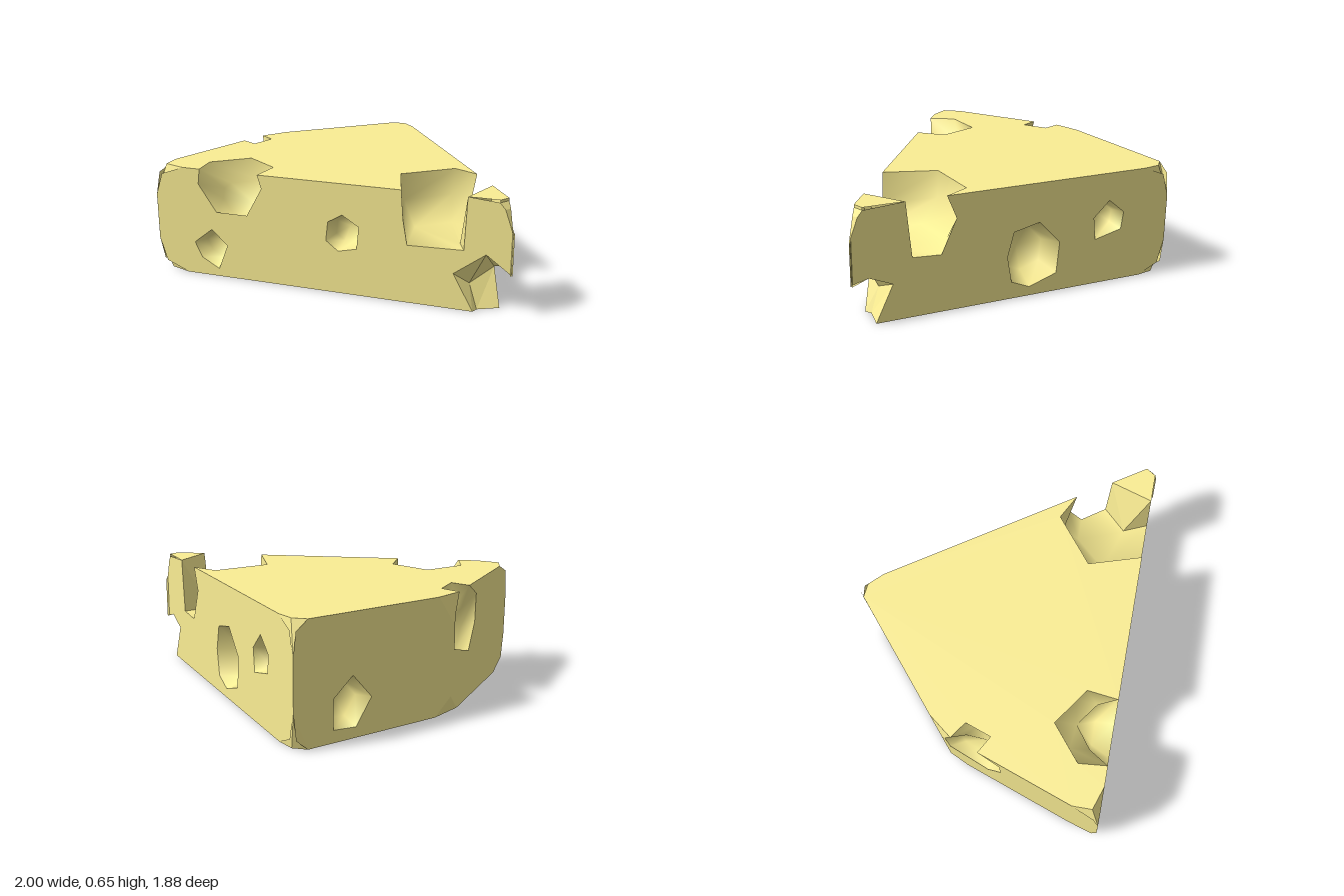
import * as THREE from 'three';

const TOP = 0.65;
const BASE = 0.003;

// Planes of the wedge, each mapping 2D face coordinates to 3D
const front = (x, y) => [x, y, 0.935 - 0.681 * (x + 0.75)];
const back = (x, y) => [x, y, -0.25 - 0.397 * (0.99 - x)];
const rind = (z, y) => [-1 + 0.267 * Math.abs(z), y, z];
const top = (x, z) => [x, TOP, z];
const bottom = (x, z) => [x, BASE, z];
const flatten = ([x, , z]) => [x, z];

export function createModel() {
  const group = new THREE.Group();
  const color = 0xfbee94;
  const flat = new THREE.MeshStandardMaterial({ color, flatShading: true, side: THREE.DoubleSide });
  const smooth = new THREE.MeshStandardMaterial({ color, side: THREE.DoubleSide });

  function add(name, geometry, material) {
    geometry.computeVertexNormals();
    const mesh = new THREE.Mesh(geometry, material);
    mesh.name = name;
    group.add(mesh);
  }

  // Surface from points and triangle indices
  function surface(name, points, index, material) {
    const g = new THREE.BufferGeometry();
    g.setAttribute('position', new THREE.Float32BufferAttribute(points.flat(), 3));
    g.setIndex(index);
    add(name, g, material);
  }

  // Flat outline with holes, placed by a mapping function
  function panel(name, outline, holes, map) {
    const toPoints = (list) => list.map(([a, b]) => new THREE.Vector2(a, b));
    const shape = new THREE.Shape(toPoints(outline));
    holes.forEach((h) => shape.holes.push(new THREE.Path(toPoints(h))));
    const g = new THREE.ShapeGeometry(shape);
    const p = g.attributes.position;
    for (let i = 0; i < p.count; i++) p.setXYZ(i, ...map(p.getX(i), p.getY(i)));
    add(name, g, flat);
  }

  const centre = (loop) => [0, 1, 2].map((k) => loop.reduce((s, p) => s + p[k], 0) / loop.length);

  // Rounded hollow: opening loop, a narrower inner ring, and the deepest point
  function pocket(name, loop, deep) {
    const n = loop.length;
    const c = centre(loop);
    const ring = loop.map((p) => p.map((v, k) => c[k] + (v - c[k]) * 0.7 + (deep[k] - c[k]) * 0.65));
    const index = [];
    for (let i = 0; i < n; i++) {
      const j = (i + 1) % n;
      index.push(i, j, n + i, j, n + j, n + i, n + i, n + j, 2 * n);
    }
    surface(name, [...loop, ...ring, deep], index, smooth);
  }

  // Hollow behind a hole in one wall
  function holePocket(name, hole, map, inward, depth) {
    const loop = hole.map(([a, b]) => map(a, b));
    pocket(name, loop, centre(loop).map((v, k) => v + inward[k] * depth));
  }

  // Skin joining rows of points
  function skin(name, rows, material) {
    const n = rows[0].length;
    const index = [];
    for (let r = 0; r < rows.length - 1; r++) {
      for (let i = r * n; i < r * n + n - 1; i++) index.push(i, i + 1, n + i, i + 1, n + i + 1, n + i);
    }
    surface(name, rows.flat(), index, material);
  }

  // Holes, in the coordinates of their wall
  const frontHoles = [
    [[0.21, 0.47], [0.29, 0.41], [0.28, 0.28], [0.19, 0.255], [0.13, 0.31], [0.14, 0.42]],
    [[-0.46, 0.29], [-0.38, 0.2], [-0.43, 0.05], [-0.52, 0.11], [-0.555, 0.2]],
  ];
  const backHoles = [
    [[0.008, 0.425], [-0.11, 0.29], [-0.095, 0.11], [0.058, 0.055], [0.159, 0.1], [0.184, 0.25], [0.15, 0.39]],
    [[-0.395, 0.49], [-0.484, 0.41], [-0.471, 0.31], [-0.32, 0.27], [-0.307, 0.4]],
  ];
  const rindHole = [[-0.72, 0.07], [-0.72, 0.23], [-0.61, 0.33], [-0.5, 0.2], [-0.59, 0.06]];

  // Notch outlines where they open on the walls and on the top
  const sideNotch = [[-0.51, TOP], [-0.52, 0.56], [-0.43, 0.4], [-0.27, 0.4], [-0.19, 0.57], [-0.21, TOP]];
  const sideNotchTop = [[-0.29, 0.41], [-0.54, 0.41], [-0.61, 0.65]];
  const rindNotch = [[0.07, TOP], [0.02, 0.53], [0.03, 0.35], [0.26, 0.28], [0.35, 0.42], [0.355, 0.58], [0.23, TOP]];
  const rindNotchTop = [[-0.83, 0.22], [-0.87, 0.07]];

  // Side walls
  panel('frontWall', [
    [-0.6, BASE], [-0.715, 0.06], [-0.75, 0.2], [-0.75, 0.47], [-0.715, 0.6], [-0.6, TOP],
    ...sideNotch, [0.49, TOP], [0.5, 0.48], [0.52, 0.34], [0.78, 0.35], [0.79, TOP],
    [0.93, 0.635], [0.955, 0.6], [1, 0.47], [1, 0.235], [0.88, 0.34], [0.735, 0.21], [0.83, BASE],
  ], frontHoles, front);
  panel('backWall', [
    [-0.6, BASE], [-0.715, 0.06], [-0.75, 0.2], [-0.75, 0.47], [-0.715, 0.6], [-0.6, TOP],
    [0.51, TOP], [0.46, 0.52], [0.54, 0.33], [0.69, 0.34], [0.72, TOP],
    [0.93, 0.635], [0.955, 0.6], [1, 0.47], [1, 0.235], [0.91, 0.265], [0.79, 0.21], [0.88, BASE],
  ], backHoles, back);

  // Rind, in two halves meeting at a blunt vertical edge
  panel('frontRind', [
    [0.1, BASE], [0, 0.1], [0, 0.5], ...rindNotch,
    [0.78, TOP], [0.905, 0.6], [0.935, 0.47], [0.935, 0.2], [0.905, 0.06], [0.76, BASE],
  ], [], rind);
  panel('backRind', [
    [-0.1, BASE], [0, 0.1], [0, 0.5], [-0.1, TOP],
    [-0.86, TOP], [-0.925, 0.6], [-0.94, 0.47], [-0.94, 0.2], [-0.925, 0.06], [-0.86, BASE],
  ], [rindHole], rind);
  surface('rindEdgeTop', [rind(0, 0.5), rind(0.07, TOP), rind(-0.1, TOP)], [0, 1, 2], flat);
  surface('rindEdgeBottom', [rind(0, 0.1), rind(-0.1, BASE), rind(0.1, BASE)], [0, 1, 2], flat);

  // Worn corners between the rind and the side walls, above and below
  for (const [y, shoulder, edge] of [[TOP, 0.6, 0.47], [BASE, 0.06, 0.2]]) {
    const corner = (name, wall, mid, rimZ, shoulderZ) => surface(name, [
      wall(-0.75, edge), wall(-0.715, shoulder), wall(-0.6, y), [mid[0], y, mid[1]],
      rind(rimZ, y), rind(shoulderZ, shoulder),
    ], [0, 1, 2, 0, 2, 3, 0, 3, 4, 0, 4, 5], flat);
    corner('frontCorner', front, [-0.73, 0.87], y === TOP ? 0.78 : 0.76, 0.905);
    corner('backCorner', back, [-0.7, -0.9], -0.86, -0.925);
  }

  // Top, cut by the notches, and the separate top of the tip
  panel('topFace', [
    ...[rind(-0.1, TOP), rind(0.07, TOP)].map(flatten), ...rindNotchTop.slice().reverse(),
    ...[rind(0.23, TOP), rind(0.78, TOP)].map(flatten), [-0.73, 0.87],
    ...[front(-0.6, TOP), front(-0.51, TOP)].map(flatten), ...sideNotchTop.slice().reverse(),
    ...[front(-0.21, TOP), front(0.49, TOP)].map(flatten), [0.25, -0.1], [0.35, -0.42],
    ...[back(0.51, TOP), back(-0.6, TOP)].map(flatten), [-0.7, -0.9], flatten(rind(-0.86, TOP)),
  ], [], top);
  panel('tipTop', [front(0.79, TOP), front(0.93, TOP), back(0.93, TOP), back(0.72, TOP)].map(flatten), [], top);
  const tipEdge = [[1, 0.47], [0.955, 0.6], [0.93, 0.635], [0.93, TOP]];
  skin('tipBevel', [tipEdge.map((p) => front(...p)), tipEdge.map((p) => back(...p))], flat);

  panel('bottomFace', [
    ...[rind(-0.1, BASE), rind(0.1, BASE), rind(0.76, BASE)].map(flatten), [-0.73, 0.87],
    ...[front(-0.6, BASE), front(0.83, BASE)].map(flatten), [0.82, -0.18],
    ...[back(0.88, BASE), back(-0.6, BASE)].map(flatten), [-0.7, -0.9], flatten(rind(-0.86, BASE)),
  ], [], bottom);

  // Hollows behind the holes
  frontHoles.forEach((h) => holePocket('frontHole', h, front, [-0.56, 0, -0.83], 0.15));
  backHoles.forEach((h, i) => holePocket('backHole', h, back, [-0.37, 0, 0.93], i ? 0.13 : 0.19));
  holePocket('rindHole', rindHole, rind, [0.966, 0, 0.26], 0.13);

  // Rounded notches open to the top
  pocket('sideNotch', [...sideNotch.map((p) => front(...p)), ...sideNotchTop.map((p) => top(...p))],
    [-0.42, 0.4, 0.46]);
  pocket('rindNotch', [...rindNotch.map((p) => rind(...p)), ...rindNotchTop.map((p) => top(...p))],
    [-0.83, 0.42, 0.17]);

  // Large notch running through the wedge behind the tip
  const tipFoot = [front(0.78, 0.35), [0.66, 0.335, -0.19], back(0.69, 0.34)];
  skin('tipNotch', [
    [front(0.49, TOP), top(0.25, -0.1), top(0.35, -0.42), back(0.51, TOP)],
    [front(0.5, 0.48), [0.27, 0.5, -0.11], [0.35, 0.5, -0.4], back(0.46, 0.52)],
    [front(0.52, 0.34), [0.38, 0.37, -0.1], [0.42, 0.36, -0.34], back(0.54, 0.33)],
    [tipFoot[0], tipFoot[1], tipFoot[1], tipFoot[2]],
  ], smooth);
  surface('tipNotchFarWall', [front(0.79, TOP), back(0.72, TOP), ...tipFoot],
    [0, 3, 2, 0, 1, 3, 1, 4, 3], flat);

  // Bite under the tip: roof and lower walls meeting at an inner corner
  const inner = [0.76, 0.14, -0.175];
  surface('tipBiteRoof', [
    inner, front(0.735, 0.21), front(0.88, 0.34), front(1, 0.235), back(0.91, 0.265), back(0.79, 0.21),
  ], [0, 1, 2, 0, 2, 5, 2, 4, 5, 2, 3, 4], flat);
  skin('tipBiteWall', [
    [front(0.735, 0.21), inner, back(0.79, 0.21)],
    [front(0.83, BASE), [0.82, BASE, -0.18], back(0.88, BASE)],
  ], flat);

  return group;
}
